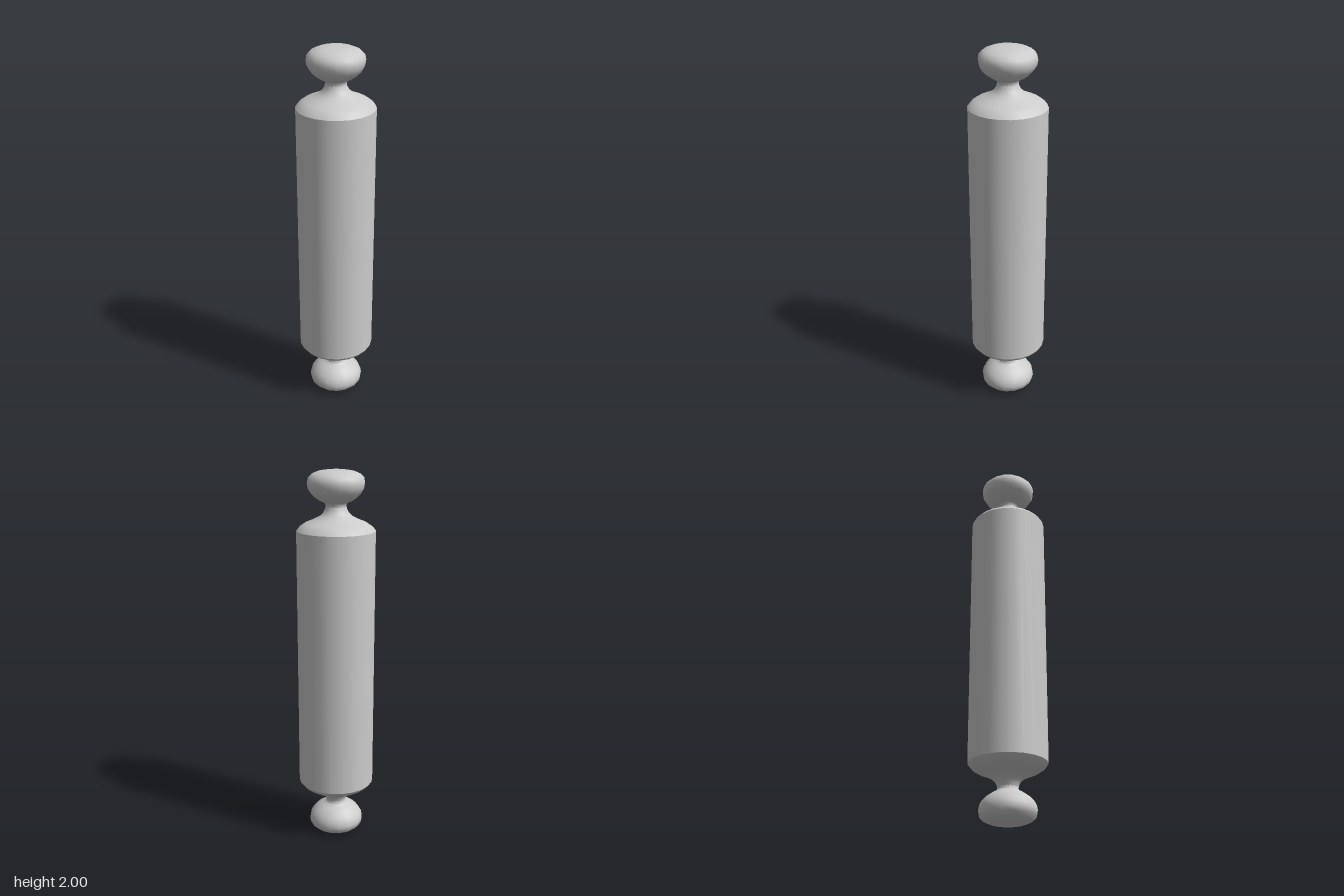
import * as THREE from 'three';

const BARREL_SIDES = 22;
const HANDLE_SIDES = 16;

function lathe(name, profile, sides) {
  const points = profile.map(([r, y]) => new THREE.Vector2(r, y));
  const geometry = new THREE.LatheGeometry(points, sides, Math.PI / 2);
  const material = new THREE.MeshStandardMaterial({ color: 0xcccccc, side: THREE.DoubleSide });
  const mesh = new THREE.Mesh(geometry, material);
  mesh.name = name;
  return mesh;
}

// One end of the pin, with y measured from the middle of the roller
function createEnd(name) {
  const end = new THREE.Group();
  end.name = name;

  // Concave shoulder sweeping from the roller edge into the neck
  end.add(lathe('shoulder', [
    [0.204, 0.695], [0.188, 0.715], [0.16, 0.734], [0.118, 0.751],
    [0.085, 0.768], [0.066, 0.786], [0.056, 0.806], [0.053, 0.82],
  ], BARREL_SIDES));

  // Neck flaring into a flattened knob
  end.add(lathe('knob', [
    [0.054, 0.81], [0.054, 0.825], [0.06, 0.836], [0.08, 0.844],
    [0.107, 0.862], [0.13, 0.885], [0.144, 0.91], [0.148, 0.935],
    [0.143, 0.96], [0.122, 0.98], [0.09, 0.993], [0.05, 0.999], [0, 1],
  ], HANDLE_SIDES));
  return end;
}

export function createModel() {
  const model = new THREE.Group();
  model.name = 'rollingPin';

  // Straight roller
  const roller = lathe('roller', [[0.204, -0.695], [0.204, 0.695]], BARREL_SIDES);
  roller.position.y = 1;
  model.add(roller);

  // Matching handles at both ends
  const top = createEnd('topHandle');
  const bottom = createEnd('bottomHandle');
  bottom.rotation.z = Math.PI;
  for (const end of [top, bottom]) {
    end.position.y = 1;
    model.add(end);
  }
  return model;
}
